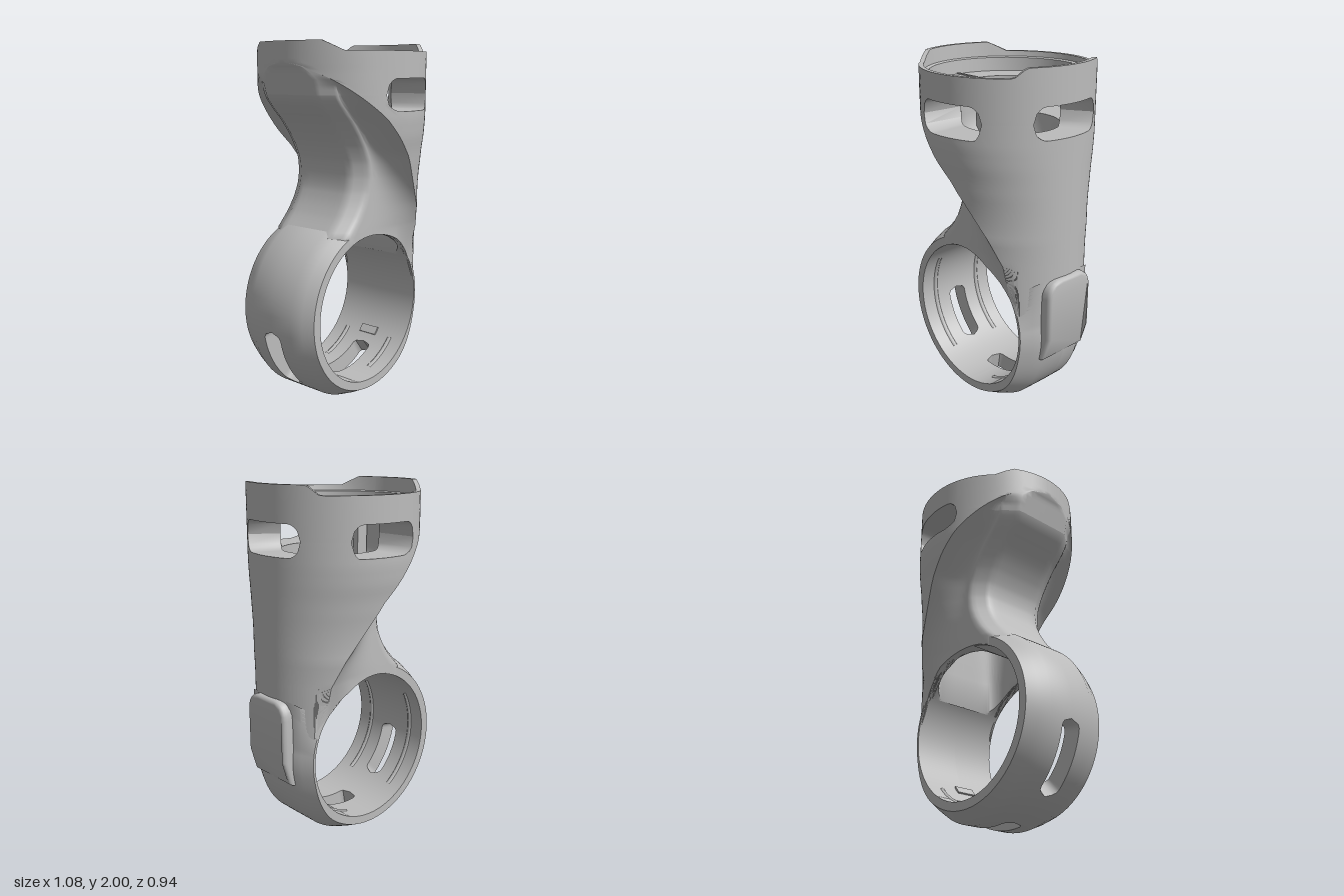
import * as THREE from 'three';
import { toCreasedNormals } from 'three/addons/utils/BufferGeometryUtils.js';

const rad = THREE.MathUtils.degToRad;
const { clamp, lerp } = THREE.MathUtils;

// Linear lookup in a short list of [key, value] pairs
function look(table, k) {
  if (k <= table[0][0]) return table[0][1];
  for (let i = 1; i < table.length; i++) {
    const [a, va] = table[i - 1], [b, vb] = table[i];
    if (k <= b) return lerp(va, vb, (k - a) / (b - a));
  }
  return table[table.length - 1][1];
}

// Surface through rows of points; rows always close, columns close on request
function loft(rows, closeCols, flip = false) {
  const n = rows[0].length, m = rows.length, index = [];
  for (let i = 0; i < m; i++) {
    for (let j = 0; j < (closeCols ? n : n - 1); j++) {
      const i2 = (i + 1) % m, j2 = (j + 1) % n;
      const a = i * n + j, b = i2 * n + j, c = i2 * n + j2, d = i * n + j2;
      if (flip) index.push(a, c, b, a, d, c);
      else index.push(a, b, c, a, c, d);
    }
  }
  const g = new THREE.BufferGeometry();
  g.setAttribute('position', new THREE.Float32BufferAttribute(rows.flat(2), 3));
  g.setIndex(index);
  return toCreasedNormals(g, 0.7);
}

// Cup cylinder and ring dimensions
const CX = 0.04, CR = 0.47;
const RX = -0.015, RY = 0.527, RI = 0.423, RO = 0.526;

const cutX = [[0.55, 0.44], [0.82, 0.4], [1.1, 0.28], [1.4, 0.08], [1.61, -0.12], [1.86, -0.41], [1.9, -0.415]];
const wallW = [[0.68, 0.263], [0.8, 0.275], [0.95, 0.31], [1.1, 0.36], [1.35, 0.43], [1.5, 0.46], [1.6, 0.47]];
const backX = [[0.8, -0.44], [1, -0.25], [1.06, -0.195], [1.13, -0.15], [1.2, -0.118], [1.28, -0.105], [1.36, -0.115],
  [1.44, -0.15], [1.51, -0.195], [1.58, -0.25], [1.65, -0.32], [1.71, -0.37], [1.86, -0.41], [1.9, -0.43]];

// Angle where the scoop meets the cylinder wall, always kept on one column
const CREASE = rad(118), FRONT_END = rad(110);
const creaseAngle = (y) => Math.acos((look(cutX, y) - CX) / CR);
function warp(y, t) {
  const a = creaseAngle(y), p = Math.min(FRONT_END, a * FRONT_END / CREASE);
  return look([[0, 0], [FRONT_END, p], [CREASE, a], [Math.PI, Math.PI]], t);
}

// Outer skin: cylinder wall on the right, scooped neck on the left
function outer(y, th) {
  const t = warp(y, Math.abs(th)), sign = Math.sign(th);
  const xc = look(cutX, y), xl = look(backX, y), a = creaseAngle(y);
  const s = Math.min(1, look(wallW, y) / (CR * Math.sin(Math.min(a, Math.PI / 2))));
  if (t <= a + 1e-6 || y > 1.88) return [CX + CR * Math.cos(t), y, sign * s * CR * Math.sin(t)];
  const q = (t - a) / (Math.PI - a), wl = 0.268, zc = s * CR * Math.sin(a);
  const xk = Math.min(xl + 0.07, xc);
  let x, z;
  if (q < 0.6) {
    const k = q / 0.6;
    x = lerp(xc, xk, k);
    z = wl + (zc - wl) * (1 - k) ** 2;
  } else if (q < 0.8) {
    x = lerp(xk, xl, (q - 0.6) / 0.2);
    z = lerp(wl, wl - 0.09, (q - 0.6) / 0.2);
  } else {
    x = xl;
    z = lerp(wl - 0.09, 0, (q - 0.8) / 0.2);
  }
  const limit = Math.sqrt(Math.max(0, CR * CR - (x - CX) ** 2));
  return [x, y, sign * Math.min(z, limit)];
}

// Inner passage, round at the cup floor and squarer towards the ring
const boreAngle = [[0, 0], [28, 30], [59, 40], [110, 130], [180, 180]];
function bore(y, th) {
  const phi = rad(look(boreAngle, Math.abs(th) * 180 / Math.PI));
  const xl = y < 1.28 ? -0.07 : clamp(look(backX, y) + 0.05, -0.21, -0.07);
  const cx = (xl + 0.34) / 2, rx = (0.34 - xl) / 2;
  const rz = look([[0.95, 0.24], [1.3, 0.25], [1.6, 0.262]], y);
  const e = look([[0.95, 0.45], [1.2, 0.6], [1.6, 1]], y), c = Math.cos(phi);
  return [cx + rx * Math.sign(c) * Math.abs(c) ** e, y, Math.sign(th) * rz * Math.abs(Math.sin(phi)) ** e];
}

// Opening size 0..1 between two angles, with rounded ends
function opening(deg, from, to, end) {
  const d = Math.min(deg - from, to - deg) / end;
  return d <= 0 ? 0 : d >= 1 ? 1 : Math.sqrt(1 - (1 - d) ** 2);
}
const windowH = (th) => {
  const d = Math.abs(th) * 180 / Math.PI;
  return 0.085 * Math.max(opening(d, -28, 28, 9), opening(d, 59, 110, 9));
};
const rimY = (t) => look([[32, 2], [40, 1.95], [139, 1.95], [150, 2]], t * 180 / Math.PI);

// Column angles line up with the window ends and the crease
const half = [];
[[0, 28, 14], [28, 59, 11], [59, 110, 26], [110, 118, 8], [118, 180, 24]].forEach(([a, b, n]) => {
  for (let i = 0; i < n; i++) half.push(rad(lerp(a, b, i / n)));
});
const columns = [...half, Math.PI, ...half.slice(1).reverse().map((t) => -t)];
const row = (f) => columns.map(f);

// Drops a point onto the top of the ring opening
function onRing([x, , z]) {
  const r = RI + 0.004, y = Math.max(0.6, RY + Math.sqrt(Math.max(0, r * r - (x - RX) ** 2)));
  const w = look(wallW, y) - 0.008;
  return [x, y, clamp(z, -w, w)];
}

const MID = 1.725, BASE = 0.965, SILL = 1.62, FLOOR = 1.84;

function lowerBody() {
  const rows = [];
  // Underside, following the curve of the ring opening
  for (let i = 0; i <= 5; i++) {
    rows.push(row((t) => {
      const a = bore(BASE, t), b = outer(BASE, t);
      return onRing(a.map((v, k) => lerp(v, b[k], i / 5)));
    }));
  }
  for (let i = 0; i < 24; i++) rows.push(row((t) => outer(lerp(BASE, SILL, i / 24), t)));
  for (let i = 0; i <= 4; i++) rows.push(row((t) => outer(lerp(SILL, MID - windowH(t), i / 4), t)));
  for (let i = 0; i < 3; i++) rows.push(row((t) => bore(lerp(MID - windowH(t), SILL, i / 3), t)));
  for (let i = 0; i <= 14; i++) rows.push(row((t) => bore(lerp(SILL, BASE, i / 14), t)));
  return loft(rows, true);
}

function upperCup() {
  const rows = [];
  const circle = (r, y) => row((th) => {
    const t = warp(1.91, Math.abs(th));
    return [CX + r * Math.cos(t), y ?? rimY(t), Math.sign(th) * r * Math.sin(t)];
  });
  for (let i = 0; i < 4; i++) rows.push(row((t) => outer(lerp(MID + windowH(t), 1.83, i / 4), t)));
  for (let i = 0; i <= 4; i++) rows.push(row((t) => outer(lerp(1.83, 1.91, i / 4), t)));
  rows.push(circle(CR), circle(0.445), circle(0.44, 1.92), circle(0.42, 1.915), circle(0.415, FLOOR));
  for (let i = 0; i <= 3; i++) rows.push(row((t) => bore(lerp(FLOOR, MID + windowH(t), i / 3), t)));
  return loft(rows, true);
}

// One half of the lower ring, swept around z: slots along its middle, rounder on the right
function ringHalf(side) {
  const rows = [[], [], [], [], [], []];
  for (let i = 0; i <= 148; i++) {
    const deg = lerp(99, 395, i / 148), t = rad(deg);
    const round = THREE.MathUtils.smoothstep(deg, 305, 350);
    const R = deg > 360 ? Math.max(RO, 0.52 / Math.cos(t)) : RO;
    const zin = 0.06 * Math.max(opening(deg, 187, 232, 5), opening(deg, 259, 309, 4));
    const shoulder = lerp(R - 0.055, RI + 0.014, round);
    const bulge = lerp(R - 0.025, R - 0.055, round), mid = R - 0.024 * round;
    [[RI, zin], [RI, 0.264], [shoulder, 0.264], [bulge, 0.205], [mid, 0.145], [R, zin]].forEach(([r, z], k) =>
      rows[k].push([RX + r * Math.cos(t), RY + r * Math.sin(t), side * z]));
  }
  return loft(rows, false, side < 0);
}

// Raised pad on the right, rounded at the top and fading into the ring below
function padGeometry() {
  const s = new THREE.Shape();
  s.moveTo(-0.14, 0.42).lineTo(0.14, 0.42).lineTo(0.14, 0.54).lineTo(0.14, 0.78);
  s.quadraticCurveTo(0.14, 0.86, 0.06, 0.86).lineTo(-0.06, 0.86);
  s.quadraticCurveTo(-0.14, 0.86, -0.14, 0.78).lineTo(-0.14, 0.54).lineTo(-0.14, 0.42);
  const g = new THREE.ExtrudeGeometry(s, { depth: 0.04, bevelThickness: 0.025, bevelSize: 0.02, bevelSegments: 3, curveSegments: 6 });
  g.rotateY(Math.PI / 2).translate(0.472, 0, 0);
  const p = g.attributes.position;
  for (let i = 0; i < p.count; i++) p.setX(i, p.getX(i) - 0.3 * Math.max(0, 0.54 - p.getY(i)));
  return toCreasedNormals(g, 0.6);
}

export function createModel() {
  const group = new THREE.Group();
  const grey = new THREE.MeshStandardMaterial({ color: 0xbcbcbc });
  grey.name = 'plain grey';
  const add = (name, geometry) => {
    const mesh = new THREE.Mesh(geometry, grey);
    mesh.name = name;
    group.add(mesh);
    return mesh;
  };

  add('neck', lowerBody());
  add('cup', upperCup());
  add('sidePad', padGeometry());

  for (const side of [1, -1]) {
    add(side > 0 ? 'ringFront' : 'ringBack', ringHalf(side));
    // Curved ribs inside the ring
    for (const [from, to] of [[150, 235], [285, 318]]) {
      const rib = add('ringRib', new THREE.TorusGeometry(RI + 0.009, 0.017, 6, 30, rad(to - from)));
      rib.position.set(RX, RY, side * 0.165);
      rib.rotation.z = rad(from);
    }
    // Small ridges on the cup floor
    const ridge = add('floorRidge', new THREE.BoxGeometry(0.12, 0.03, 0.03));
    ridge.position.set(0.32, FLOOR + 0.005, side * 0.28);
    ridge.rotation.y = -side * rad(45);
  }
  add('floorSeam', new THREE.BoxGeometry(0.19, 0.009, 0.014)).position.set(-0.305, FLOOR + 0.002, 0);

  // Stop block inside the ring and rib inside the passage
  const stop = add('stopBlock', new THREE.BoxGeometry(0.03, 0.05, 0.12));
  stop.position.set(RX + 0.428 * Math.cos(rad(-40)), RY + 0.428 * Math.sin(rad(-40)), 0);
  stop.rotation.z = rad(-40);
  add('passageRib', new THREE.BoxGeometry(0.07, 0.28, 0.04)).position.set(-0.16, 1.66, 0);
  return group;
}
